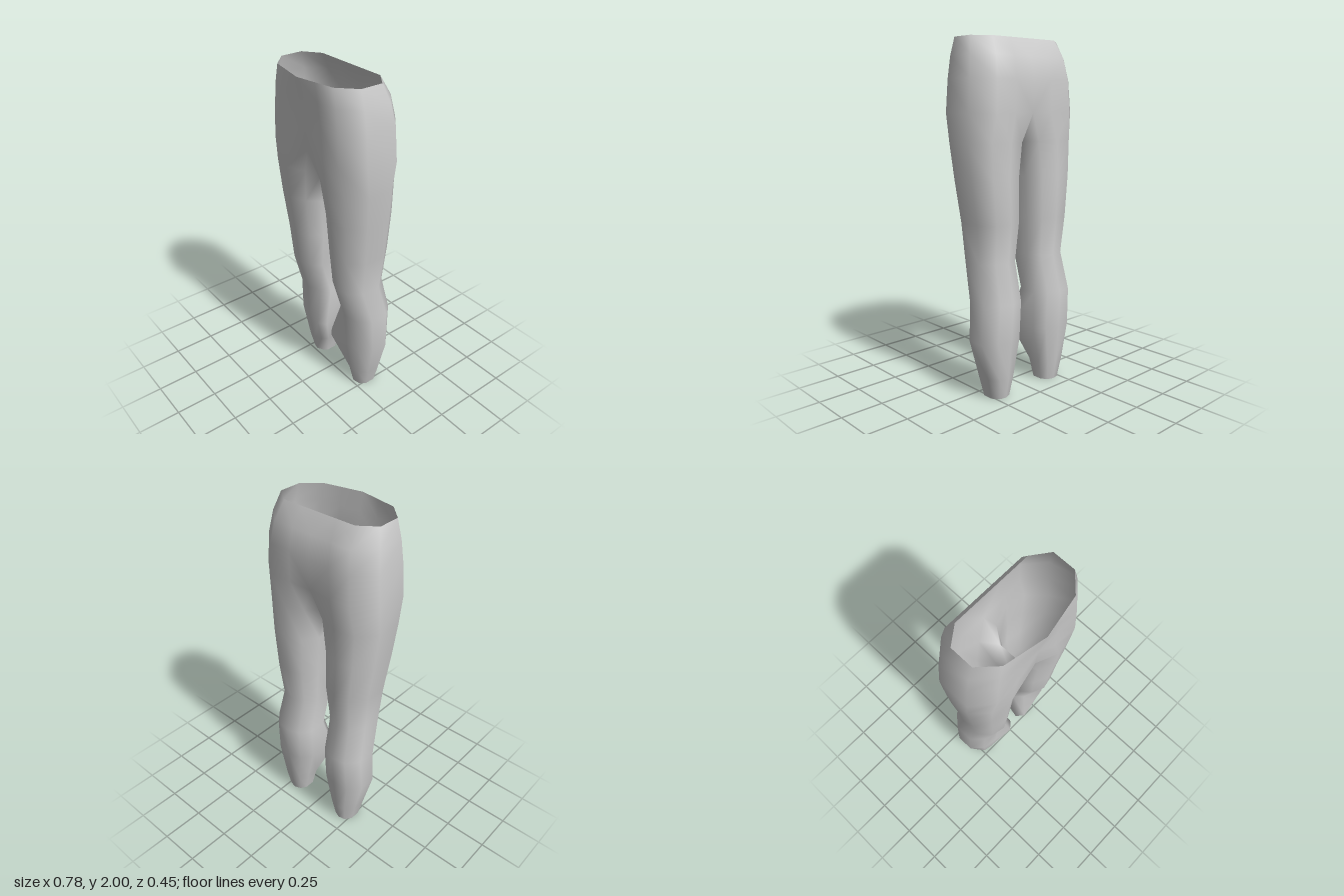
import * as THREE from 'three';
import { mergeVertices } from 'three/addons/utils/BufferGeometryUtils.js';

// Hip rows, top down: y, half width, z of: front centre, front, side front, side back, back, back centre
const HIPS = [
  [2.0, 0.325, 0.225, 0.18, 0.09, -0.04, -0.11, -0.11],
  [1.9, 0.355, 0.205, 0.182, 0.09, -0.075, -0.165, -0.165],
  [1.78, 0.375, 0.187, 0.182, 0.09, -0.095, -0.19, -0.19],
  [1.6, 0.39, 0.172, 0.184, 0.09, -0.1, -0.195, -0.182],
];

// Leg rows, top down: y, inner x, outer x, front z, back z
const LEG = [
  [1.44, 0.0, 0.385, 0.185, -0.196],
  [1.24, 0.036, 0.365, 0.165, -0.197],
  [1.0, 0.042, 0.335, 0.14, -0.196],
  [0.78, 0.06, 0.315, 0.12, -0.173],
  [0.56, 0.06, 0.335, 0.055, -0.225],
  [0.34, 0.06, 0.345, 0.045, -0.213],
  [0.12, 0.11, 0.292, 0.012, -0.192],
  [0.0, 0.135, 0.265, -0.015, -0.17],
];

// Leg cross-section: across (inner 0, outer 1) and depth (back 0, front 1)
const SECTION = [
  [0.17, 0.88], [0.46, 1], [0.77, 0.94], [1, 0.7], [1, 0.3],
  [0.77, 0.05], [0.46, 0], [0.17, 0.09], [0, 0.32], [0, 0.7],
];

// Half ring of the hips, front centre round the outside to back centre
function hipRing([y, w, fc, f, sf, sb, b, bc]) {
  const s = 0.71 * w;
  const ring = [
    [0, y, fc], [s / 2, y, (fc + f) / 2], [s, y, f], [w, y, sf],
    [w, y, sb], [s, y, b], [s / 2, y, (b + bc) / 2], [0, y, bc],
  ];
  // the two inner-leg columns start at the centre line
  return [...ring, ring[7], ring[0]];
}

function legRing([y, inner, outer, front, back]) {
  const ring = SECTION.map(([u, v]) => [
    THREE.MathUtils.lerp(inner, outer, u), y, THREE.MathUtils.lerp(back, front, v),
  ]);
  // fold bulging at the inside front of the calf
  if (y === 0.34) {
    ring[9] = [0.025, y, 0.03];
    ring[0] = [0.07, y, 0.068];
  }
  return ring;
}

function leggingsGeometry() {
  const rows = [...HIPS.map(hipRing), ...LEG.map(legRing)];
  const positions = [];
  const same = (p, q) => p.every((n, i) => n === q[i]);

  const triangle = (a, b, c) => {
    if (same(a, b) || same(b, c) || same(a, c)) return;
    positions.push(...a, ...b, ...c);
    // mirrored half, with reversed corners
    for (const [x, y, z] of [a, c, b]) positions.push(x === 0 ? 0 : -x, y, z);
  };

  for (let r = 0; r < rows.length - 1; r++) {
    const top = rows[r], low = rows[r + 1];
    const inHips = r < HIPS.length - 1;
    const atCrotch = r === HIPS.length - 1;
    for (let c = 0; c < 10; c++) {
      if (inHips && c > 6) continue;
      if (atCrotch && c === 8) continue; // open between the legs
      const n = (c + 1) % 10;
      triangle(top[c], low[c], low[n]);
      triangle(top[c], low[n], top[n]);
    }
  }

  const raw = new THREE.BufferGeometry();
  raw.setAttribute('position', new THREE.Float32BufferAttribute(positions, 3));
  const geometry = mergeVertices(raw, 1e-4);
  geometry.computeVertexNormals();
  return geometry;
}

export function createModel() {
  const group = new THREE.Group();
  group.name = 'leggings';

  // One thin garment surface, open at the waist and ankles
  const fabric = new THREE.MeshStandardMaterial({ color: 0xcccccc, side: THREE.DoubleSide });
  const garment = new THREE.Mesh(leggingsGeometry(), fabric);
  garment.name = 'fabric';
  group.add(garment);
  return group;
}
